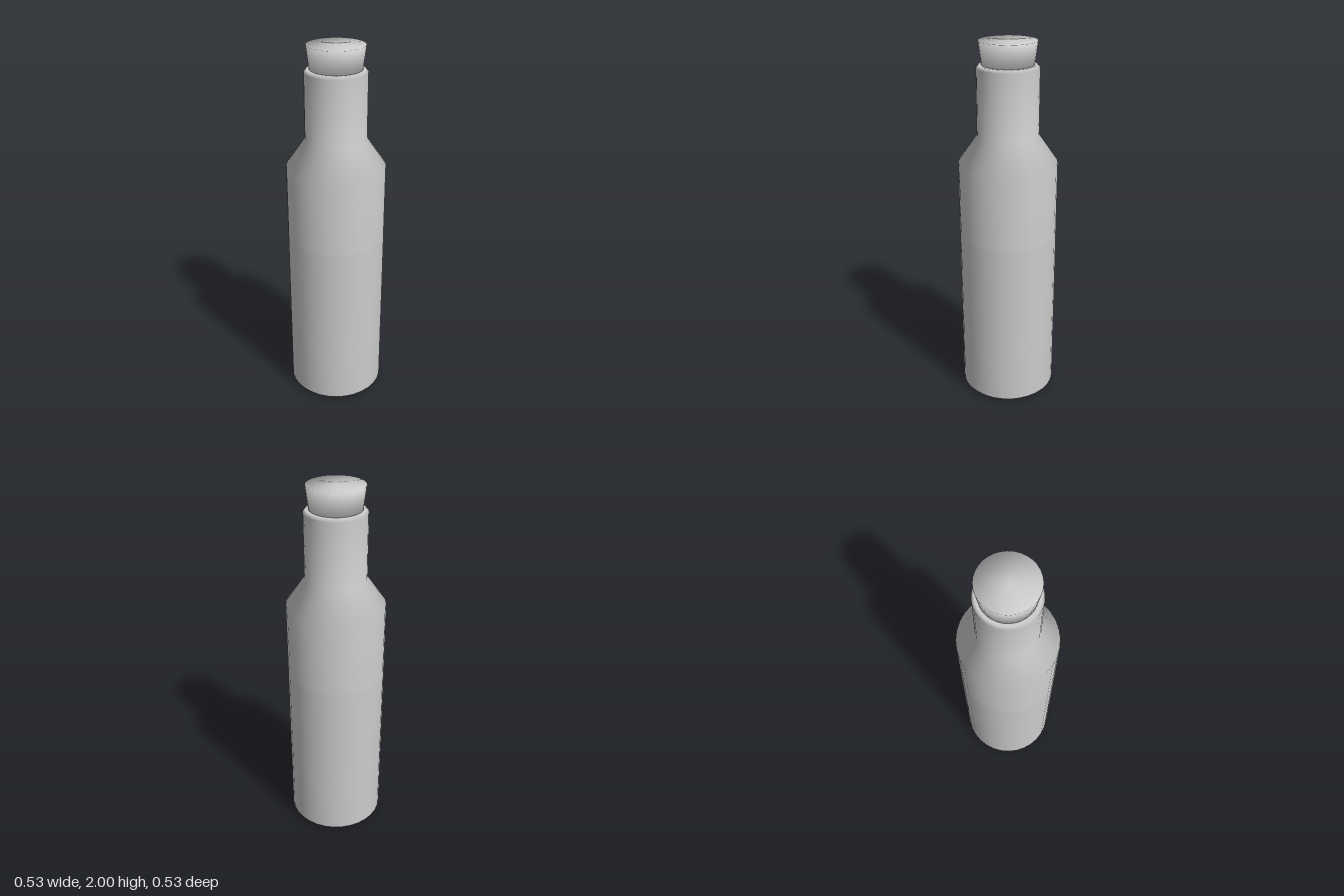
import * as THREE from 'three';

const SIDES = 32;

// Turned part with smooth normals, from [radius, height] points listed bottom to top
function turned(name, profile, material) {
  const points = profile.map(([r, y]) => new THREE.Vector2(r, y));
  const mesh = new THREE.Mesh(new THREE.LatheGeometry(points, SIDES), material);
  mesh.name = name;
  return mesh;
}

export function createModel() {
  const grey = new THREE.MeshStandardMaterial({ color: 0xcccccc });
  const thin = new THREE.MeshStandardMaterial({ color: 0xcccccc, side: THREE.DoubleSide });
  const group = new THREE.Group();
  group.name = 'bottle';

  // Body with bevelled base, sloped shoulder and straight neck
  group.add(turned('bottleBody', [
    [0, 0], [0.235, 0], [0.25, 0.005], [0.264, 0.02],
    [0.264, 1.37], [0.163, 1.515],
    [0.163, 1.865], [0.15, 1.88], [0, 1.88],
  ], grey));

  // Label wrapped closely around the body
  group.add(turned('label', [[0.2645, 0.43], [0.2645, 0.96]], thin));

  // Tapered stopper, wider at the top
  group.add(turned('cork', [
    [0, 1.84], [0.131, 1.84], [0.151, 2], [0, 2],
  ], grey));

  return group;
}
